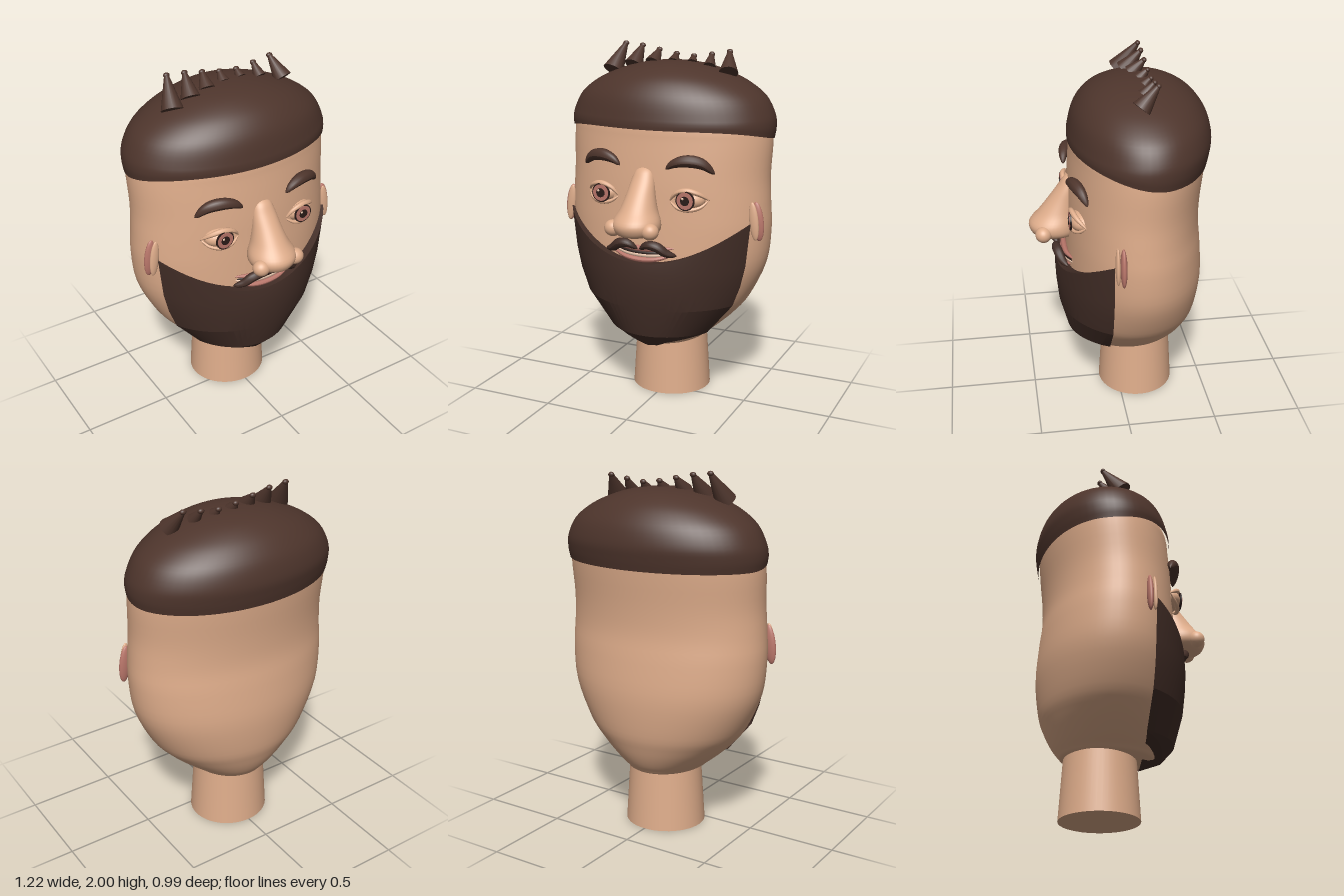
import * as THREE from 'three';
import { toCreasedNormals } from 'three/addons/utils/BufferGeometryUtils.js';

const paint = (name, color, side = THREE.FrontSide) => {
  const m = new THREE.MeshStandardMaterial({ color, side });
  m.name = name;
  return m;
};
const V = (x, y, z = 0) => new THREE.Vector3(x, y, z);

// Surface from a grid of points, rows running upward and columns toward +x at the front
function grid(rows, cols, point, closed) {
  const pos = [], idx = [], n = closed ? cols : cols + 1;
  for (let i = 0; i <= rows; i++)
    for (let j = 0; j < n; j++) pos.push(...point(i / rows, j / cols).toArray());
  for (let i = 0; i < rows; i++)
    for (let j = 0; j < cols; j++) {
      const k = (j + 1) % n, a = i * n + j, b = i * n + k;
      idx.push(a, b, b + n, a, b + n, a + n);
    }
  const g = new THREE.BufferGeometry();
  g.setAttribute('position', new THREE.Float32BufferAttribute(pos, 3));
  g.setIndex(idx);
  g.computeVertexNormals();
  return g;
}

// Smooth loft of ellipses; each section is [y, half width, front z, back z]
function loft(sections, cols = 64, edge = (p) => p) {
  const a = new THREE.CatmullRomCurve3(sections.map((s) => V(s[0], s[1])), false, 'catmullrom');
  const b = new THREE.CatmullRomCurve3(sections.map((s) => V(s[2], s[3])), false, 'catmullrom');
  return grid((sections.length - 1) * 4, cols, (v, u) => {
    const p = a.getPoint(v), q = b.getPoint(v), t = u * Math.PI * 2;
    return edge(V(p.y * Math.sin(t), p.x, (q.x + q.y) / 2 + (q.x - q.y) / 2 * Math.cos(t)));
  }, true);
}

// Tube whose radius follows a rule along its length
function taperTube(points, radius) {
  const path = new THREE.CatmullRomCurve3(points.map((p) => V(...p)));
  const n = 24, sides = 12, g = new THREE.TubeGeometry(path, n, 1, sides);
  const pos = g.attributes.position, v = V(0, 0);
  for (let i = 0; i < pos.count; i++) {
    const u = Math.floor(i / (sides + 1)) / n, c = path.getPointAt(u);
    v.fromBufferAttribute(pos, i).sub(c).multiplyScalar(radius(u)).add(c);
    pos.setXYZ(i, v.x, v.y, v.z);
  }
  g.computeVertexNormals();
  return g;
}
const bulge = (r) => (u) => r * Math.max(0, Math.sin(Math.PI * u)) ** 0.6 + 0.001;

export function createModel() {
  const group = new THREE.Group();
  const skin = paint('skin', 0xdfad8b);
  const hair = paint('hair', 0x4e352c);
  const beardColor = paint('beard brown', 0x432e27, THREE.DoubleSide);
  const pink = paint('pink', 0xb9766a);
  const dark = paint('dark brown', 0x2a1b18);
  const pale = paint('pale', 0xe6c3aa);

  const add = (name, geometry, material, x = 0, y = 0, z = 0) => {
    const m = new THREE.Mesh(geometry, material);
    m.name = name;
    m.position.set(x, y, z);
    group.add(m);
    return m;
  };
  const ball = (name, mat, p, r) => {
    const m = add(name, new THREE.SphereGeometry(1, 32, 20), mat, ...p);
    m.scale.set(...r);
    return m;
  };

  // Head and neck
  add('head', loft([
    [0.31, 0.001, -0.1, -0.102], [0.33, 0.19, 0.15, -0.3], [0.36, 0.24, 0.2, -0.345],
    [0.42, 0.315, 0.24, -0.385], [0.5, 0.4, 0.265, -0.42], [0.6, 0.48, 0.28, -0.45],
    [0.8, 0.572, 0.288, -0.47], [1.0, 0.597, 0.285, -0.458], [1.15, 0.592, 0.28, -0.443],
    [1.3, 0.584, 0.275, -0.448], [1.5, 0.588, 0.26, -0.468], [1.6, 0.565, 0.245, -0.465],
    [1.7, 0.45, 0.15, -0.38],
  ]), skin);
  add('neck', new THREE.CylinderGeometry(0.2, 0.229, 0.45, 48), skin, 0, 0.225, -0.112).scale.z = 0.955;

  // Cap of hair, its lower edge rising toward the forehead
  add('hairCap', loft([
    [1.5, 0.594, 0.268, -0.478], [1.56, 0.601, 0.268, -0.49], [1.63, 0.59, 0.262, -0.497],
    [1.72, 0.54, 0.238, -0.475], [1.79, 0.45, 0.195, -0.43], [1.84, 0.345, 0.14, -0.375],
    [1.88, 0.22, 0.06, -0.3], [1.9, 0.1, -0.03, -0.21], [1.905, 0.001, -0.12, -0.122],
  ], 64, (p) => {
    const e = 0.065 * THREE.MathUtils.smoothstep(p.z, -0.2, 0.26);
    if (p.y < 1.62) p.y += e * (1.62 - p.y) / 0.12;
    return p;
  }), hair);

  // Row of swept-back spikes: base x, y, z, base radius, tip x, tip y
  const spikes = [
    [-0.345, 1.84, -0.06, 0.06, -0.315, 1.985], [-0.225, 1.87, -0.08, 0.054, -0.21, 1.975],
    [-0.115, 1.885, -0.1, 0.046, -0.105, 1.955], [0, 1.89, -0.125, 0.036, 0, 1.935],
    [0.11, 1.89, -0.13, 0.03, 0.105, 1.925], [0.22, 1.875, -0.11, 0.036, 0.212, 1.938],
    [0.345, 1.85, -0.075, 0.053, 0.317, 1.955],
  ];
  for (const [x, y, z, r, tx, ty] of spikes) {
    const base = V(x, y, z), tip = V(tx, ty, -0.165), dir = tip.clone().sub(base);
    const s = add('hairSpike', new THREE.CylinderGeometry(0.012, r, dir.length(), 16), hair,
      ...base.clone().lerp(tip, 0.5).toArray());
    s.quaternion.setFromUnitVectors(V(0, 1), dir.normalize());
    ball('spikeTip', hair, tip.toArray(), [0.018, 0.014, 0.014]);
  }

  // Beard rows, bottom to top: half width, edge y and z, middle y and z, curve power
  const rows = [
    [0.3, 0.41, 0.08, 0.29, 0.1, 1], [0.3, 0.41, 0.08, 0.335, 0.22, 1],
    [0.305, 0.415, 0.08, 0.415, 0.29, 1], [0.45, 0.59, 0.083, 0.585, 0.335, 2],
    [0.495, 0.71, 0.085, 0.71, 0.348, 2], [0.522, 0.83, 0.085, 0.8, 0.352, 2],
    [0.547, 1.065, 0.088, 0.85, 0.345, 2], [0.525, 1.06, 0.05, 0.845, 0.27, 2],
  ];
  const T = Math.asin(0.9), cT = Math.cos(T);
  add('beard', toCreasedNormals(grid(rows.length - 1, 32, (v, u) => {
    const [w, ye, ze, yc, zc, p] = rows[Math.round(v * (rows.length - 1))];
    const a = (u * 2 - 1) * T, t = Math.sin(a) / 0.9;
    return V(w * t, yc + (ye - yc) * Math.abs(t) ** p,
      ze + (zc - ze) * (Math.cos(a) - cT) / (1 - cT));
  }, false), 0.2), beardColor);

  // Nose
  add('nose', loft([
    [1.012, 0.001, 0.37, 0.368], [1.018, 0.09, 0.455, 0.24], [1.045, 0.125, 0.485, 0.22],
    [1.09, 0.128, 0.49, 0.22], [1.15, 0.1, 0.44, 0.22], [1.22, 0.08, 0.385, 0.22],
    [1.3, 0.064, 0.325, 0.22], [1.35, 0.045, 0.29, 0.22], [1.375, 0.001, 0.25, 0.248],
  ], 40), skin);

  // Mouth
  const smile = (name, y, sag, z, r, mat) => add(name, taperTube(
    [[-0.18, y, z - 0.03], [-0.09, y - sag * 0.75, z - 0.005], [0, y - sag, z],
      [0.09, y - sag * 0.75, z - 0.005], [0.18, y, z - 0.03]], bulge(r)), mat);
  smile('upperLip', 0.935, 0.01, 0.3, 0.016, pink);
  smile('mouthGap', 0.915, 0.015, 0.292, 0.016, dark);
  smile('teeth', 0.908, 0.02, 0.297, 0.013, pale);
  smile('lowerLip', 0.9, 0.035, 0.312, 0.014, pink);

  for (const s of [1, -1]) {
    const side = s > 0 ? 'left' : 'right';
    const tube = (name, pts, r, mat) =>
      add(side + name, taperTube(pts.map(([x, y, z]) => [s * x, y, z]), bulge(r)), mat);

    ball(side + 'Nostril', skin, [s * 0.108, 1.057, 0.42], [0.048, 0.045, 0.045]);

    // Eye with thin iris and pupil plates
    ball(side + 'Eyeball', skin, [s * 0.25, 1.205, 0.222], [0.088, 0.056, 0.066]);
    [['IrisRing', 0.053, 0.285, dark], ['Iris', 0.046, 0.288, pink], ['Pupil', 0.025, 0.291, dark]]
      .forEach(([name, r, z, mat]) => {
        add(side + name, new THREE.CylinderGeometry(r, r, 0.008, 32), mat, s * 0.25, 1.208, z)
          .rotation.x = Math.PI / 2;
      });
    ball(side + 'EyeGlint', pale, [s * 0.25 - 0.012, 1.22, 0.295], [0.007, 0.007, 0.003]);
    tube('UpperLid', [[0.15, 1.195, 0.262], [0.19, 1.24, 0.275], [0.25, 1.26, 0.275],
      [0.31, 1.245, 0.255], [0.36, 1.205, 0.21]], 0.014, skin);
    tube('LowerLid', [[0.15, 1.195, 0.262], [0.2, 1.163, 0.275], [0.26, 1.155, 0.272],
      [0.32, 1.17, 0.245], [0.355, 1.205, 0.21]], 0.011, skin);

    // Brow and moustache
    tube('Eyebrow', [[0.385, 1.348, 0.205], [0.325, 1.4, 0.232], [0.25, 1.415, 0.258],
      [0.18, 1.4, 0.275], [0.135, 1.368, 0.28]], 0.032, hair);
    tube('Moustache', [[0.005, 0.93, 0.335], [0.06, 0.96, 0.35], [0.11, 0.955, 0.345],
      [0.16, 0.92, 0.325], [0.21, 0.905, 0.3]], 0.026, beardColor);

    // Ear with a pink shell behind a skin-coloured flap
    const shell = ball(side + 'EarShell', pink, [s * 0.572, 1.075, 0.045], [0.034, 0.108, 0.018]);
    const flap = ball(side + 'EarFlap', skin, [s * 0.56, 1.08, 0.073], [0.026, 0.105, 0.014]);
    shell.rotation.z = flap.rotation.z = s * 0.12;
  }
  return group;
}
